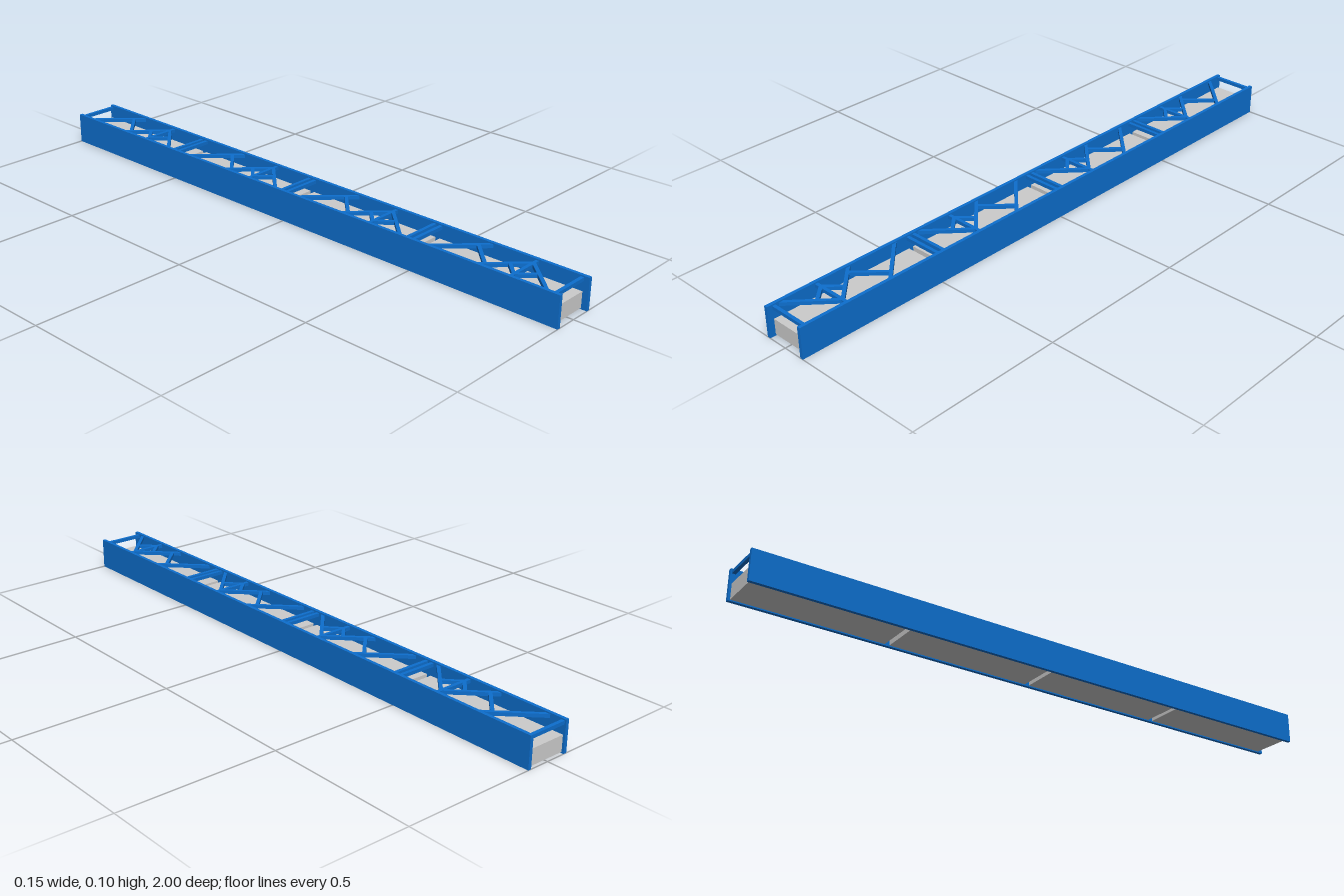
import * as THREE from 'three';

const blue = new THREE.MeshStandardMaterial({ color: 0x0d6ecd });
const grey = new THREE.MeshStandardMaterial({ color: 0xcccccc });

function box(name, size, position, material) {
  const mesh = new THREE.Mesh(new THREE.BoxGeometry(...size), material);
  mesh.name = name;
  mesh.position.set(...position);
  return mesh;
}

// Square bar lying flat between two (x, z) points
function bar(name, [x1, z1], [x2, z2]) {
  const dx = x2 - x1, dz = z2 - z1;
  const mesh = box(name, [Math.hypot(dx, dz), 0.011, 0.011],
    [(x1 + x2) / 2, 0.0905, (z1 + z2) / 2], blue);
  mesh.rotation.y = Math.atan2(-dz, dx);
  return mesh;
}

export function createModel() {
  const model = new THREE.Group();
  model.name = 'trussBeam';

  // Long side plates
  for (const side of [1, -1]) {
    const name = side > 0 ? 'leftSidePlate' : 'rightSidePlate';
    model.add(box(name, [0.011, 0.1, 2], [side * 0.0695, 0.05, 0], blue));
  }

  // Bracing within one section, z measured from the section's back end
  const crossBars = [0.005, 0.337, 0.48];
  const diagonals = [
    [[-0.07, 0.05], [0.067, 0.187]],
    [[0.039, 0.157], [-0.05, 0.246]],
    [[-0.07, 0.22], [0.047, 0.337]],
    [[0.047, 0.337], [-0.07, 0.462]],
    [[0, 0.292], [-0.045, 0.337]],
    [[-0.045, 0.337], [0, 0.386]],
  ];

  // Four repeated sections, each a deck block under a braced top
  for (let i = 0; i < 4; i++) {
    const section = new THREE.Group();
    section.name = `section${i + 1}`;
    section.position.z = -0.995 + i * 0.4975;
    section.add(box('deck', [0.13, 0.05, 0.482], [0, 0.029, 0.243], grey));
    for (const z of crossBars) section.add(bar('crossBar', [-0.067, z], [0.067, z]));
    for (const [a, b] of diagonals) section.add(bar('diagonalBrace', a, b));
    model.add(section);
  }
  return model;
}
